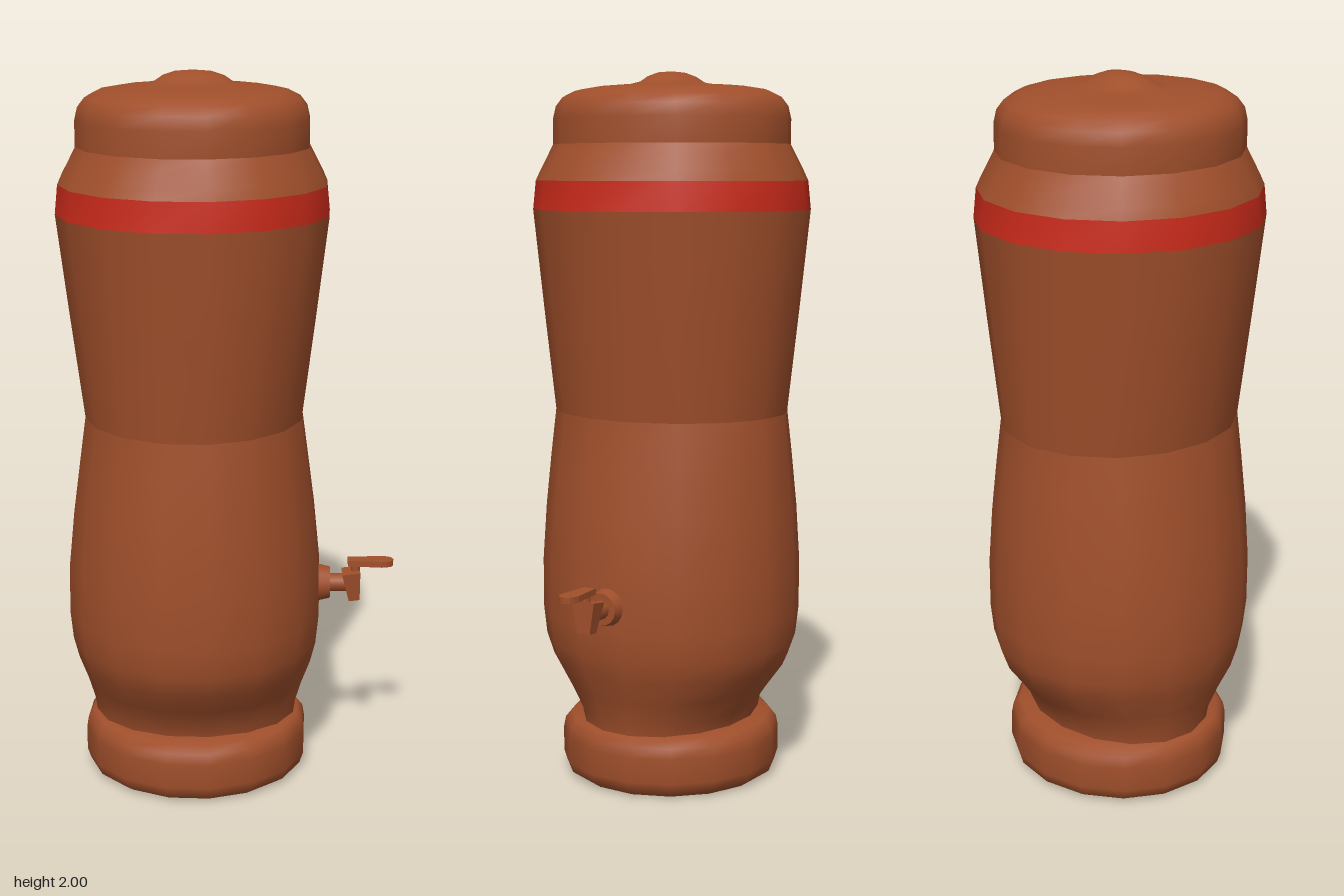
import * as THREE from 'three';

const clay = new THREE.MeshStandardMaterial({ color: 0xa04f2b, side: THREE.DoubleSide });
const red = new THREE.MeshStandardMaterial({ color: 0xc82a1a, side: THREE.DoubleSide });

const SIDES = 16;
const TURN = THREE.MathUtils.degToRad(13.5);

// Skin stacked elliptical rings [y, half width x, half depth z], listed bottom to top
function loft(rings) {
  const pos = [], index = [];
  const reach = Math.cos(THREE.MathUtils.degToRad(9)); // corners sit just outside the axis extents
  for (const [y, hx, hz] of rings) {
    for (let i = 0; i < SIDES; i++) {
      const a = TURN + (i / SIDES) * Math.PI * 2;
      pos.push((hx / reach) * Math.cos(a), y, (hz / reach) * Math.sin(a));
    }
  }
  for (let r = 0; r < rings.length - 1; r++) {
    for (let i = 0; i < SIDES; i++) {
      const j = (i + 1) % SIDES;
      const a = r * SIDES + i, b = r * SIDES + j, c = a + SIDES, d = b + SIDES;
      index.push(a, c, b, b, c, d);
    }
  }
  const geo = new THREE.BufferGeometry();
  geo.setAttribute('position', new THREE.Float32BufferAttribute(pos, 3));
  geo.setIndex(index);
  geo.computeVertexNormals();
  return geo;
}

function add(parent, name, geo, mat = clay) {
  const mesh = new THREE.Mesh(geo, mat);
  mesh.name = name;
  parent.add(mesh);
  return mesh;
}

export function createModel() {
  const model = new THREE.Group();
  model.name = 'waterFilter';

  const vessel = new THREE.Group();
  vessel.name = 'vessel';
  vessel.position.x = -0.097;
  model.add(vessel);

  // Rounded foot with a flat underside
  add(vessel, 'footUnderside', loft([[0.005, 0.001, 0.001], [0.005, 0.285, 0.275]]));
  add(vessel, 'foot', loft([
    [0.005, 0.285, 0.275], [0.02, 0.307, 0.297], [0.05, 0.317, 0.306], [0.12, 0.317, 0.306],
    [0.15, 0.312, 0.3], [0.17, 0.297, 0.28], [0.178, 0.26, 0.225],
  ]));

  // Lower chamber, swelling above the foot and closing in at the waist
  add(vessel, 'lowerChamber', loft([
    [0.165, 0.286, 0.236], [0.21, 0.292, 0.245], [0.27, 0.309, 0.285], [0.34, 0.334, 0.336],
    [0.4, 0.349, 0.358], [0.48, 0.357, 0.367], [0.62, 0.355, 0.368], [0.78, 0.339, 0.36],
    [0.93, 0.319, 0.347], [1.055, 0.302, 0.334],
  ]));

  // Upper chamber, painted band and shoulder
  add(vessel, 'upperChamber', loft([[1.055, 0.302, 0.334], [1.34, 0.338, 0.363], [1.62, 0.372, 0.39]]));
  add(vessel, 'paintedBand', loft([[1.62, 0.372, 0.39], [1.7, 0.364, 0.382]]), red);
  add(vessel, 'shoulder', loft([
    [1.7, 0.364, 0.382], [1.73, 0.351, 0.368], [1.77, 0.33, 0.348], [1.8, 0.315, 0.333],
  ]));

  // Domed lid with a low knob blended into its top
  add(vessel, 'lid', loft([
    [1.8, 0.315, 0.333], [1.87, 0.315, 0.333], [1.905, 0.307, 0.325], [1.93, 0.288, 0.306],
    [1.947, 0.255, 0.272], [1.957, 0.2, 0.21], [1.963, 0.13, 0.12], [1.97, 0.105, 0.085],
    [1.985, 0.083, 0.062], [1.996, 0.05, 0.035], [2, 0.001, 0.001],
  ]));

  // Tap on the left side
  const tap = new THREE.Group();
  tap.name = 'tap';
  tap.position.set(0, 0.55, -0.008);
  model.add(tap);

  const flange = add(tap, 'tapFlange', new THREE.CylinderGeometry(0.045, 0.053, 0.035, 16));
  flange.rotation.z = -Math.PI / 2;
  flange.position.x = 0.271;
  const pipe = add(tap, 'tapPipe', new THREE.CylinderGeometry(0.026, 0.026, 0.07, 12));
  pipe.rotation.z = -Math.PI / 2;
  pipe.position.x = 0.315;

  // Tapered spout
  const spoutGeo = new THREE.CylinderGeometry(0.04, 0.024, 0.085, 4, 1, false, Math.PI / 4).toNonIndexed();
  spoutGeo.scale(0.92, 1, 1.2);
  spoutGeo.computeVertexNormals();
  const spout = add(tap, 'spout', spoutGeo);
  spout.position.set(0.354, -0.007, 0);
  spout.rotation.z = 0.12;

  const stem = add(tap, 'stem', new THREE.CylinderGeometry(0.013, 0.013, 0.04, 10));
  stem.position.set(0.362, 0.045, 0);

  // Flat paddle lever widening towards its tip
  const paddle = new THREE.Shape();
  paddle.moveTo(0.34, -0.018);
  paddle.lineTo(0.37, -0.02);
  paddle.lineTo(0.435, -0.027);
  paddle.quadraticCurveTo(0.47, -0.024, 0.47, 0);
  paddle.quadraticCurveTo(0.47, 0.024, 0.435, 0.027);
  paddle.lineTo(0.37, 0.02);
  paddle.lineTo(0.34, 0.018);
  const lever = add(tap, 'lever', new THREE.ExtrudeGeometry(paddle, { depth: 0.017, bevelEnabled: false, curveSegments: 4 }));
  lever.rotation.x = -Math.PI / 2;
  lever.position.y = 0.054;

  return model;
}
